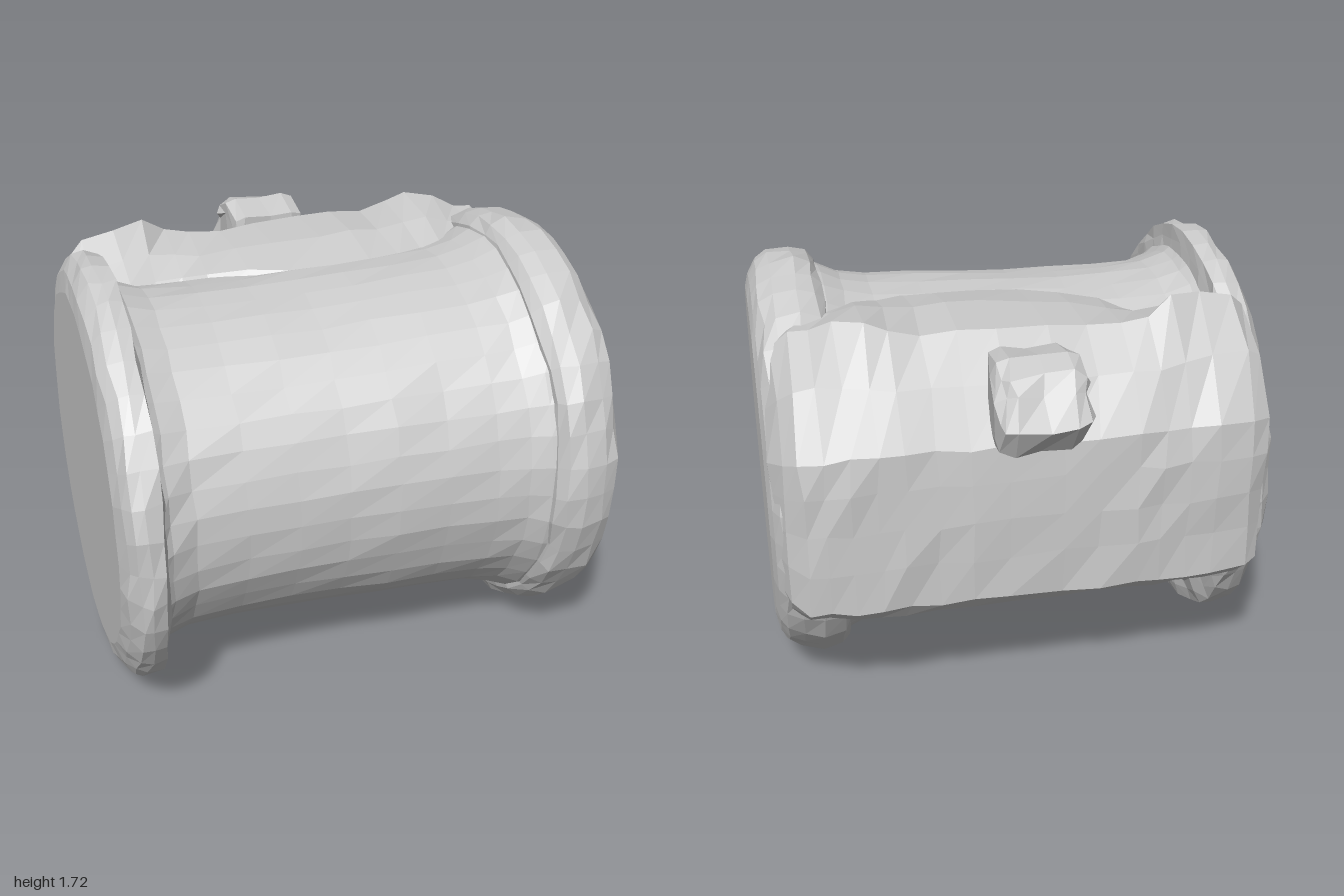
import * as THREE from 'three';

const material = new THREE.MeshStandardMaterial({ color: 0xcccccc, flatShading: true });
const AXIS_Y = 0.86, AXIS_Z = 0.125;

// Small repeatable offset that depends only on position, so seams stay closed
function wobble(geometry, amount) {
  const p = geometry.attributes.position;
  const noise = (x, y, z, k) => {
    const q = [x, y, z].map((v) => Math.round(v * 1000));
    const s = Math.sin(q[0] * 0.127 + q[1] * 0.311 + q[2] * 0.747 + k * 5.3) * 4375.5;
    return (s - Math.floor(s)) * 2 - 1;
  };
  for (let i = 0; i < p.count; i++) {
    const x = p.getX(i), y = p.getY(i), z = p.getZ(i);
    p.setXYZ(i,
      Math.abs(x) > 0.985 ? x : x + amount * noise(x, y, z, 1),
      y + amount * noise(x, y, z, 2),
      z + amount * noise(x, y, z, 3));
  }
  geometry.computeVertexNormals();
  return geometry;
}

function addPart(group, name, geometry) {
  const mesh = new THREE.Mesh(geometry, material);
  mesh.name = name;
  group.add(mesh);
  return mesh;
}

// Solid of revolution around the x axis; profile is [x, radius], x increasing
function turned(profile, segments, amount) {
  const points = profile.map(([x, r]) => new THREE.Vector2(r, x));
  const g = new THREE.LatheGeometry(points, segments).rotateZ(-Math.PI / 2);
  wobble(g, amount);
  return g.translate(0, AXIS_Y, AXIS_Z);
}

// Raised pad on the back: sections along x, each an arc around the drum axis
function padGeometry() {
  // x, crest angle, crest radius, angle where the pad meets the barrel, overall scale
  const sections = [
    [-0.96, 54, 0.93, 64, 0.6], [-0.93, 55, 0.92, 64, 0.94], [-0.86, 56, 0.95, 64, 0.98],
    [-0.72, 56, 0.965, 64, 1], [-0.6, 54, 0.995, 63, 1], [-0.5, 50, 0.96, 66, 1],
    [-0.4, 50, 0.94, 72, 1], [-0.25, 50, 0.935, 76, 1], [-0.1, 50, 0.95, 80, 1],
    [0.1, 50, 0.96, 82, 1], [0.25, 50, 0.955, 82, 1], [0.38, 50, 0.955, 82, 1],
    [0.5, 51, 0.98, 80, 1], [0.6, 53, 0.99, 78, 1], [0.7, 55, 0.96, 76, 1],
    [0.8, 56, 0.92, 74, 0.99], [0.88, 56, 0.91, 70, 0.98], [0.94, 55, 0.89, 68, 0.91],
    [0.98, 54, 0.88, 66, 0.8], [0.985, 54, 0.88, 66, 0.55],
  ];
  const positions = [], index = [];
  let n = 0;
  for (const [x, crestAngle, crest, foot, scale] of sections) {
    const footRadius = 0.705 + 0.03 * Math.max(x, 0);
    const arc = [
      [-62, 0.62], [-54, 0.7], [-42, 0.755], [-30, 0.83], [-22, 0.91], [-16, 0.96], [-5, 0.93],
      [5, 0.93], [15, 0.955], [23, 0.985], [(23 + crestAngle) / 2, 0.985], [crestAngle, crest],
      [(crestAngle + foot) / 2, (crest + footRadius) * 0.487], [foot, footRadius], [foot + 4, 0.62],
    ];
    n = arc.length;
    for (const [deg, r] of arc) {
      const a = THREE.MathUtils.degToRad(deg);
      positions.push(x, r * scale * Math.sin(a), -r * scale * Math.cos(a));
    }
  }
  for (let i = 0; i < sections.length - 1; i++) {
    for (let j = 0; j < n - 1; j++) {
      const a = i * n + j, b = a + n;
      index.push(a, a + 1, b, b, a + 1, b + 1);
    }
  }
  const g = new THREE.BufferGeometry();
  g.setAttribute('position', new THREE.Float32BufferAttribute(positions, 3));
  g.setIndex(index);
  return wobble(g, 0.01).translate(0, AXIS_Y, AXIS_Z);
}

// Rounded lug: side outline in (z, y), extruded across x
function knobGeometry() {
  const outline = [
    [-0.66, 1.36], [-0.8, 1.31], [-0.88, 1.33], [-0.92, 1.4], [-0.88, 1.47],
    [-0.84, 1.52], [-0.77, 1.54], [-0.66, 1.52],
  ];
  const shape = new THREE.Shape(outline.map(([z, y]) => new THREE.Vector2(-z, y)));
  const g = new THREE.ExtrudeGeometry(shape, {
    depth: 0.22, steps: 2, bevelEnabled: true, bevelThickness: 0.06, bevelSize: 0.055, bevelSegments: 2,
  });
  g.translate(0, 0, -0.105).rotateY(Math.PI / 2);
  return wobble(g, 0.015);
}

export function createModel() {
  const model = new THREE.Group();
  model.name = 'drum';

  // Slightly flared barrel
  addPart(model, 'barrel', turned([
    [-0.86, 0.78], [-0.8, 0.735], [-0.7, 0.703], [-0.5, 0.695], [-0.3, 0.695], [-0.1, 0.7],
    [0.1, 0.71], [0.3, 0.718], [0.5, 0.732], [0.62, 0.75], [0.7, 0.785], [0.76, 0.8],
  ], 40, 0.006));

  // End rims with flat caps
  addPart(model, 'rightRim', turned([
    [-1, 0], [-1, 0.72], [-0.98, 0.795], [-0.945, 0.845], [-0.9, 0.858], [-0.845, 0.852], [-0.83, 0.8], [-0.81, 0.68],
  ], 40, 0.01));
  addPart(model, 'leftRim', turned([
    [0.7, 0.7], [0.71, 0.805], [0.74, 0.84], [0.81, 0.857], [0.9, 0.845], [0.955, 0.815], [0.985, 0.76], [1, 0.7], [1, 0],
  ], 40, 0.009));

  // Back pad and its lug
  const pad = addPart(model, 'backPad', padGeometry());
  pad.material = material.clone();
  pad.material.side = THREE.DoubleSide;
  addPart(model, 'backKnob', knobGeometry());

  return model;
}
